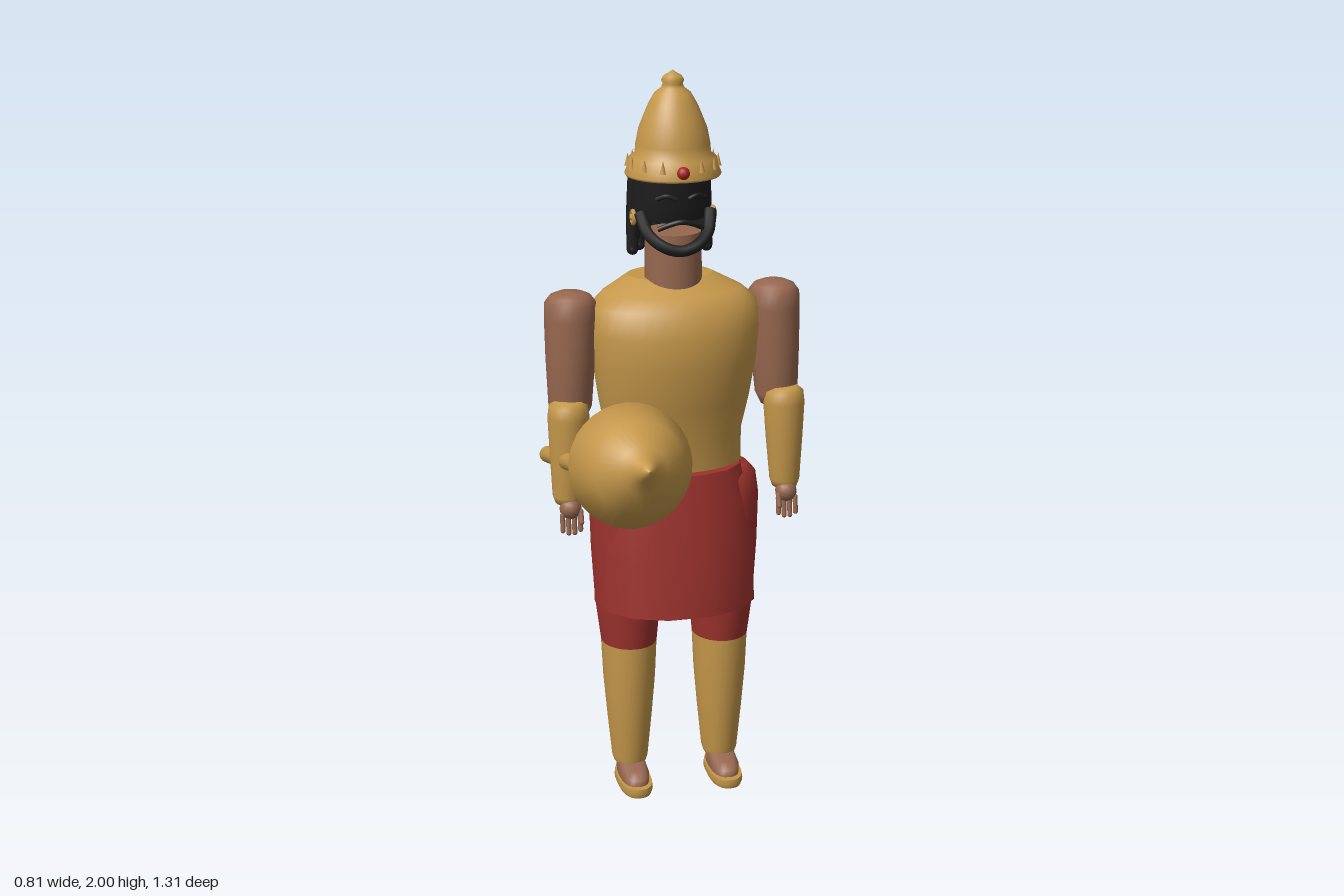
import * as THREE from 'three';

const material = (name, color, side = THREE.FrontSide) => {
  const m = new THREE.MeshStandardMaterial({ color, side });
  m.name = name;
  return m;
};

// Smooth skin over elliptical rings: [y, centreX, centreZ, halfWidth, halfDepth]
function loft(rows, sides = 28, power = 1) {
  const pos = [], index = [];
  const bend = (v) => Math.sign(v) * Math.abs(v) ** power;
  rows.forEach(([y, cx, cz, w, d], j) => {
    for (let i = 0; i < sides; i++) {
      const a = (i / sides) * Math.PI * 2;
      pos.push(cx + bend(Math.cos(a)) * w, y, cz + bend(Math.sin(a)) * d);
      if (j === rows.length - 1) continue;
      const p = j * sides + i, q = j * sides + ((i + 1) % sides);
      index.push(p, p + sides, q, q, p + sides, q + sides);
    }
  });
  const g = new THREE.BufferGeometry();
  g.setAttribute('position', new THREE.Float32BufferAttribute(pos, 3));
  g.setIndex(index);
  g.computeVertexNormals();
  return g;
}

// Repeats the end rings for a hard edge and closes them flat
function capped(rows, sides, power) {
  const shut = (r) => [r[0], r[1], r[2], 0.0005, 0.0005];
  const a = rows[0], b = rows[rows.length - 1];
  return loft([shut(a), a, ...rows, b, shut(b)], sides, power);
}

export function createModel() {
  const model = new THREE.Group();
  model.name = 'warriorWithMace';
  const gold = material('gold', 0xc4974a);
  const red = material('red cloth', 0x9c322d);
  const skin = material('brown skin', 0x96674f);
  const black = material('black hair', 0x1d1d1d);
  const ruby = material('ruby', 0xa82420);

  const add = (name, geometry, mat, parent = model) => {
    const mesh = new THREE.Mesh(geometry, mat);
    mesh.name = name;
    parent.add(mesh);
    return mesh;
  };
  const CX = 0.05, CZ = -0.435;
  const tube = (pts, r) => new THREE.TubeGeometry(
    new THREE.CatmullRomCurve3(pts.map((p) => new THREE.Vector3(...p))), 24, r, 8);

  // Torso armour
  add('torso', capped([
    [0.93, CX, CZ, 0.185, 0.115], [1.03, CX, CZ, 0.186, 0.12],
    [1.12, CX, -0.43, 0.205, 0.138], [1.23, CX, -0.423, 0.222, 0.152],
    [1.32, CX, -0.422, 0.23, 0.152], [1.39, CX, -0.43, 0.226, 0.14],
    [1.42, CX, -0.445, 0.19, 0.122], [1.455, CX, -0.478, 0.115, 0.085],
  ], 36), gold);

  // Skirt, flaring front and back
  add('skirt', capped([
    [0.548, CX, -0.435, 0.225, 0.193], [0.7, CX, -0.436, 0.225, 0.177],
    [0.84, CX, -0.437, 0.218, 0.16], [0.94, CX, -0.438, 0.185, 0.148],
  ], 14, 0.9), red);

  // Neck and face strip
  add('neck', capped([[1.42, CX, CZ, 0.077, 0.077], [1.58, CX, CZ, 0.074, 0.077]]), skin);

  // Hair cap and hanging locks
  const hair = new THREE.Group();
  hair.name = 'hair';
  model.add(hair);
  add('hairCap', capped([
    [1.61, CX, -0.47, 0.1, 0.078], [1.65, CX, -0.468, 0.106, 0.085],
    [1.74, CX, -0.463, 0.104, 0.085],
  ]), black, hair);
  for (let i = 0; i < 13; i++) {
    const a = Math.PI * (1 + (i / 12)), x = CX + Math.cos(a) * 0.096;
    const z = -0.475 + Math.sin(a) * 0.07, low = 1.525 + (i % 3) * 0.014;
    add('lock', tube([[x, 1.72, z], [x + Math.cos(a) * 0.004, 1.62, z - 0.004],
      [x + Math.cos(a) * 0.005, low, z]], 0.016), black, hair);
    add('lockTip', new THREE.SphereGeometry(0.016, 10, 8), black, hair)
      .position.set(x + Math.cos(a) * 0.005, low, z);
  }

  // Beard, moustache and brows
  add('beard', tube([[-0.045, 1.635, -0.41], [-0.03, 1.585, -0.375], [0.005, 1.555, -0.35],
    [CX, 1.543, -0.342], [0.095, 1.555, -0.35], [0.13, 1.585, -0.375], [0.145, 1.635, -0.41]],
  0.016), black);
  add('moustache', tube([[-0.01, 1.602, -0.35], [0.02, 1.615, -0.34], [CX, 1.622, -0.335],
    [0.08, 1.615, -0.34], [0.11, 1.602, -0.35]], 0.007), black);
  for (const s of [-1, 1]) {
    add('brow', tube([[CX + s * 0.015, 1.683, -0.327], [CX + s * 0.04, 1.692, -0.332],
      [CX + s * 0.065, 1.683, -0.345]], 0.006), black);
    const ring = add('earring', new THREE.TorusGeometry(0.016, 0.006, 8, 18), gold);
    ring.position.set(CX + s * 0.108, 1.62, -0.432);
    ring.rotation.y = Math.PI / 2;
    add('earStud', new THREE.SphereGeometry(0.01, 10, 8), gold)
      .position.set(CX + s * 0.108, 1.62, -0.432);
  }

  // Helmet with studded rim, gem and finial
  const helmet = new THREE.Group();
  helmet.name = 'helmet';
  helmet.position.set(CX, 0, CZ);
  model.add(helmet);
  add('helmetShell', new THREE.LatheGeometry([
    [0.001, 1.728], [0.124, 1.728], [0.127, 1.734], [0.121, 1.748], [0.115, 1.775],
    [0.1, 1.785], [0.098, 1.81], [0.09, 1.85], [0.076, 1.885], [0.063, 1.915], [0.047, 1.942],
    [0.03, 1.955], [0.026, 1.965], [0.03, 1.974], [0.024, 1.985], [0.01, 1.993], [0, 2.0],
  ].map(([r, y]) => new THREE.Vector2(r, y)), 36), gold, helmet);
  for (let i = 1; i < 14; i++) {
    const a = (i / 14) * Math.PI * 2;
    const stud = add('rimStud', new THREE.ConeGeometry(0.009, 0.034, 8), gold, helmet);
    stud.position.set(Math.sin(a) * 0.118, 1.768, Math.cos(a) * 0.118);
  }
  add('gem', new THREE.SphereGeometry(0.017, 14, 10), ruby, helmet).position.set(0, 1.753, 0.119);

  // Arms and legs, mirrored about the body centre
  for (const s of [-1, 1]) {
    const X = (d) => CX + s * d;
    const side = s > 0 ? 'left' : 'right';
    add(side + 'UpperArm', loft([
      [1.08, X(0.286), -0.425, 0.001, 0.001], [1.09, X(0.286), -0.425, 0.045, 0.045],
      [1.12, X(0.285), -0.428, 0.058, 0.06], [1.25, X(0.281), -0.434, 0.066, 0.07],
      [1.36, X(0.278), -0.438, 0.07, 0.076], [1.4, X(0.278), -0.438, 0.068, 0.073],
      [1.418, X(0.278), -0.438, 0.055, 0.058], [1.427, X(0.278), -0.438, 0.035, 0.036],
      [1.43, X(0.278), -0.438, 0.001, 0.001],
    ]), skin);
    add(side + 'Forearm', loft([
      [0.855, X(0.302), -0.394, 0.001, 0.001], [0.86, X(0.302), -0.394, 0.034, 0.037],
      [0.88, X(0.302), -0.394, 0.041, 0.044], [1.0, X(0.299), -0.392, 0.05, 0.052],
      [1.1, X(0.297), -0.391, 0.056, 0.057], [1.132, X(0.297), -0.391, 0.052, 0.054],
      [1.145, X(0.297), -0.391, 0.036, 0.038], [1.148, X(0.297), -0.391, 0.001, 0.001],
    ]), gold);
    // Hand with fingers
    const hand = new THREE.Group();
    hand.name = side + 'Hand';
    hand.position.set(X(0.3), 0, -0.37);
    model.add(hand);
    add('palm', new THREE.SphereGeometry(0.03, 14, 10), skin, hand).position.y = 0.85;
    for (let f = 0; f < 4; f++) {
      const finger = add('finger', new THREE.CapsuleGeometry(0.007, 0.042, 4, 8), skin, hand);
      finger.position.set((f - 1.5) * 0.016, 0.813 - (f % 3 ? 0.008 : 0), 0.012);
      finger.rotation.x = -0.15;
    }
    const thumb = add('thumb', new THREE.CapsuleGeometry(0.007, 0.03, 4, 8), skin, hand);
    thumb.position.set(-s * 0.025, 0.83, 0.02);
    thumb.rotation.x = -0.4;

    add(side + 'Thigh', loft([
      [0.428, X(0.13), CZ, 0.001, 0.001], [0.43, X(0.13), CZ, 0.077, 0.09],
      [0.43, X(0.13), CZ, 0.077, 0.09], [0.55, X(0.132), CZ, 0.09, 0.104],
      [0.7, X(0.133), CZ, 0.098, 0.112], [0.84, X(0.133), CZ, 0.102, 0.11],
      [0.9, X(0.133), CZ, 0.094, 0.095], [0.927, X(0.133), CZ, 0.07, 0.065],
      [0.935, X(0.133), CZ, 0.001, 0.001],
    ]), red);
    add(side + 'Shin', capped([
      [0.06, X(0.13), -0.436, 0.045, 0.053], [0.075, X(0.13), -0.436, 0.05, 0.057],
      [0.2, X(0.13), -0.436, 0.062, 0.072], [0.32, X(0.13), -0.436, 0.072, 0.084],
      [0.43, X(0.13), -0.436, 0.077, 0.087],
    ]), gold);
    // Foot on a sandal with strap
    add(side + 'Foot', capped([
      [0.025, X(0.13), -0.398, 0.04, 0.088], [0.045, X(0.13), -0.4, 0.041, 0.088],
      [0.058, X(0.13), -0.418, 0.038, 0.072], [0.07, X(0.13), -0.435, 0.036, 0.045],
    ], 20, 0.8), skin);
    add(side + 'Sandal', capped([
      [0, X(0.13), -0.39, 0.043, 0.096], [0.012, X(0.13), -0.39, 0.048, 0.1],
      [0.027, X(0.13), -0.39, 0.046, 0.099],
    ], 24, 0.8), gold);
  }

  // Mace: long shaft and a bulbous pointed head
  const mace = new THREE.Group();
  mace.name = 'mace';
  model.add(mace);
  const from = new THREE.Vector3(-0.26, 0.912, -0.65), to = new THREE.Vector3(-0.26, 1.17, 0.35);
  const axis = to.clone().sub(from);
  const shaft = add('maceShaft', new THREE.CylinderGeometry(0.023, 0.023, axis.length(), 16), gold, mace);
  shaft.position.copy(from).add(to).multiplyScalar(0.5);
  shaft.quaternion.setFromUnitVectors(new THREE.Vector3(0, 1, 0), axis.normalize());
  const head = add('maceHead', new THREE.LatheGeometry([
    [0, -0.172], [0.062, -0.168], [0.106, -0.108], [0.146, 0], [0.108, 0.095],
    [0.055, 0.148], [0.028, 0.165], [0.016, 0.2], [0, 0.212],
  ].map(([r, y]) => new THREE.Vector2(r, y)), 32), gold, mace);
  head.position.set(-0.26, 1.242, 0.453);
  head.quaternion.copy(shaft.quaternion);

  return model;
}
